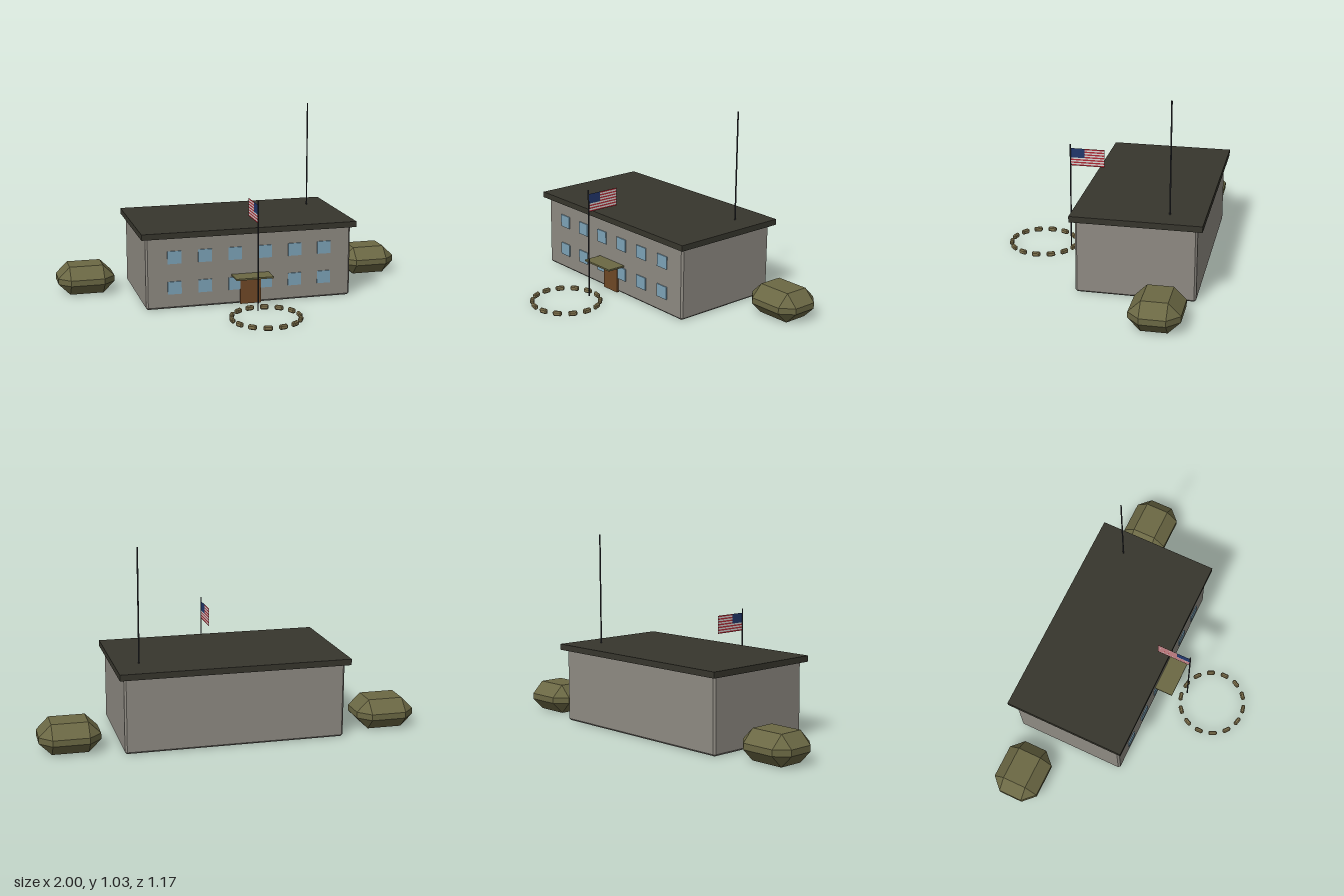
import * as THREE from 'three';
import { ConvexGeometry } from 'three/addons/geometries/ConvexGeometry.js';

const mat = (name, color, extra = {}) => new THREE.MeshStandardMaterial({ name, color, ...extra });

// Box with every edge cut by a flat bevel
function chamferBox(w, h, d, b) {
  const pts = [];
  for (const sx of [-1, 1]) for (const sy of [-1, 1]) for (const sz of [-1, 1]) {
    const x = w / 2, y = h / 2, z = d / 2;
    pts.push(
      new THREE.Vector3(sx * x, sy * (y - b), sz * (z - b)),
      new THREE.Vector3(sx * (x - b), sy * y, sz * (z - b)),
      new THREE.Vector3(sx * (x - b), sy * (y - b), sz * z));
  }
  return new ConvexGeometry(pts);
}

export function createModel() {
  const model = new THREE.Group();
  model.name = 'headquarters';
  const wall = mat('wall grey', 0x8e8a82);
  const roofDark = mat('roof dark', 0x37362d);
  const olive = mat('olive', 0x6b6844);
  const tan = mat('sandbag tan', 0x83754f);
  const wood = mat('door brown', 0x6f4826);
  const glass = mat('window blue', 0x7da3b8);
  const steel = mat('pole dark', 0x34353a);
  const red = mat('flag red', 0xb02a35, { side: THREE.DoubleSide });
  const white = mat('flag white', 0xd8d8d6, { side: THREE.DoubleSide });
  const blue = mat('flag blue', 0x22376c, { side: THREE.DoubleSide });

  const add = (name, geo, material, x, y, z, parent = model) => {
    const m = new THREE.Mesh(geo, material);
    m.name = name;
    m.position.set(x, y, z);
    parent.add(m);
    return m;
  };
  const group = (name) => {
    const g = new THREE.Group();
    g.name = name;
    model.add(g);
    return g;
  };

  // Building body, roof slab, door and canopy
  add('walls', chamferBox(1.156, 0.4, 0.628, 0.01), wall, 0, 0.2, -0.242);
  add('roof', new THREE.BoxGeometry(1.206, 0.032, 0.682), roofDark, 0, 0.411, -0.243);
  add('door', new THREE.BoxGeometry(0.115, 0.149, 0.016), wood, 0, 0.0745, 0.076);
  add('canopy', new THREE.BoxGeometry(0.21, 0.009, 0.108), olive, 0, 0.164, 0.124);

  // Two rows of front windows
  const windows = group('windows');
  const pane = new THREE.BoxGeometry(0.076, 0.07, 0.009);
  for (const y of [0.117, 0.286])
    for (let i = 0; i < 6; i++)
      add('window', pane, glass, (i - 2.5) * 0.169, y, 0.0735, windows);

  // Roof antenna
  add('antenna', new THREE.CylinderGeometry(0.004, 0.004, 0.606, 8), steel, 0.474, 0.723, -0.4);

  // Bushes on both sides
  for (const s of [-1, 1])
    add(s > 0 ? 'leftBush' : 'rightBush', chamferBox(0.315, 0.16, 0.262, 0.064), olive, s * 0.8425, 0.08, -0.402);

  // Ring of sandbags around the flagpole yard
  const ring = group('sandbagRing');
  const bag = chamferBox(0.022, 0.026, 0.047, 0.006);
  for (let i = 0; i < 14; i++) {
    const a = (i / 14) * Math.PI * 2;
    const m = add('sandbag', bag, tan, 0.183 * Math.cos(a), 0.013, 0.388 + 0.183 * Math.sin(a), ring);
    m.rotation.y = -a;
  }

  // Flagpole, and a flag streaming towards the building
  add('flagpole', new THREE.CylinderGeometry(0.004, 0.004, 0.604, 8), steel, 0, 0.302, 0.231);
  const flag = group('flag');
  const zPole = 0.229, zEnd = 0.039, zCanton = 0.152, yTop = 0.582, stripe = 0.1 / 13;
  const cloth = (name, material, z0, z1, y0, y1) => {
    const m = add(name, new THREE.PlaneGeometry(z0 - z1, y1 - y0), material, 0, (y0 + y1) / 2, (z0 + z1) / 2, flag);
    m.rotation.y = Math.PI / 2;
  };
  for (let i = 0; i < 13; i++)
    cloth('stripe', i % 2 ? white : red, i < 7 ? zCanton : zPole, zEnd, yTop - (i + 1) * stripe, yTop - i * stripe);
  cloth('canton', blue, zPole, zCanton, yTop - 7 * stripe, yTop);

  return model;
}
